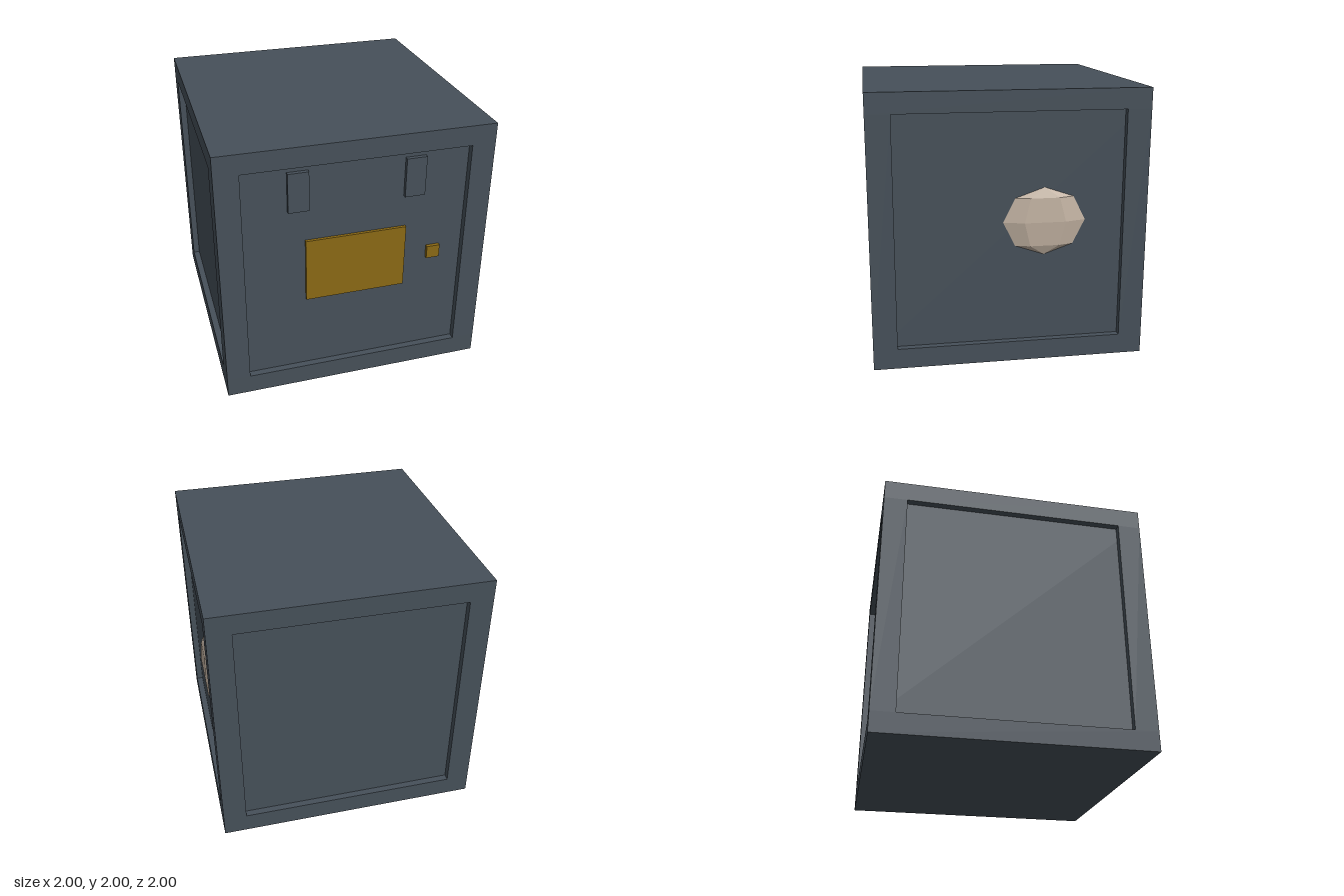
import * as THREE from 'three';

export function createModel() {
  const group = new THREE.Group();
  const steel = new THREE.MeshStandardMaterial({ color: 0x465059, flatShading: true });
  steel.name = 'dark steel';
  const brass = new THREE.MeshStandardMaterial({ color: 0x8b6914, flatShading: true });
  brass.name = 'brass';
  const stone = new THREE.MeshStandardMaterial({ color: 0xc0b0a0, flatShading: true });
  stone.name = 'pale stone';

  const box = (name, material, [w, h, d], [x, y, z]) => {
    const mesh = new THREE.Mesh(new THREE.BoxGeometry(w, h, d), material);
    mesh.name = name;
    mesh.position.set(x, y, z);
    group.add(mesh);
  };

  // Recessed side panels, formed by one inner block
  box('innerPanels', steel, [1.9, 1.7, 1.9], [0, 1, 0]);

  // Frame: base and lid slabs joined by four corner posts
  box('baseSlab', steel, [2, 0.15, 2], [0, 0.075, 0]);
  box('lidSlab', steel, [2, 0.15, 2], [0, 1.925, 0]);
  for (const x of [-1, 1]) {
    for (const z of [-1, 1]) {
      box('cornerPost', steel, [0.175, 1.7, 0.175], [x * 0.9125, 1, z * 0.9125]);
    }
    // Hinge plates on the front panel
    box('hingePlate', steel, [0.15, 0.3, 0.04], [x * 0.425, 1.65, 0.96]);
  }

  // Front plate and latch
  box('frontPlate', brass, [0.75, 0.5, 0.03], [0, 1, 0.957]);
  box('latch', brass, [0.1, 0.1, 0.04], [0.6, 1, 0.957]);

  // Flattened faceted boss, half sunk into the side panel
  const boss = new THREE.Mesh(new THREE.SphereGeometry(1, 6, 4).rotateY(Math.PI / 2), stone);
  boss.name = 'sideBoss';
  boss.scale.set(0.05, 0.25, 0.3);
  boss.position.set(0.95, 1.05, -0.25);
  group.add(boss);

  return group;
}
